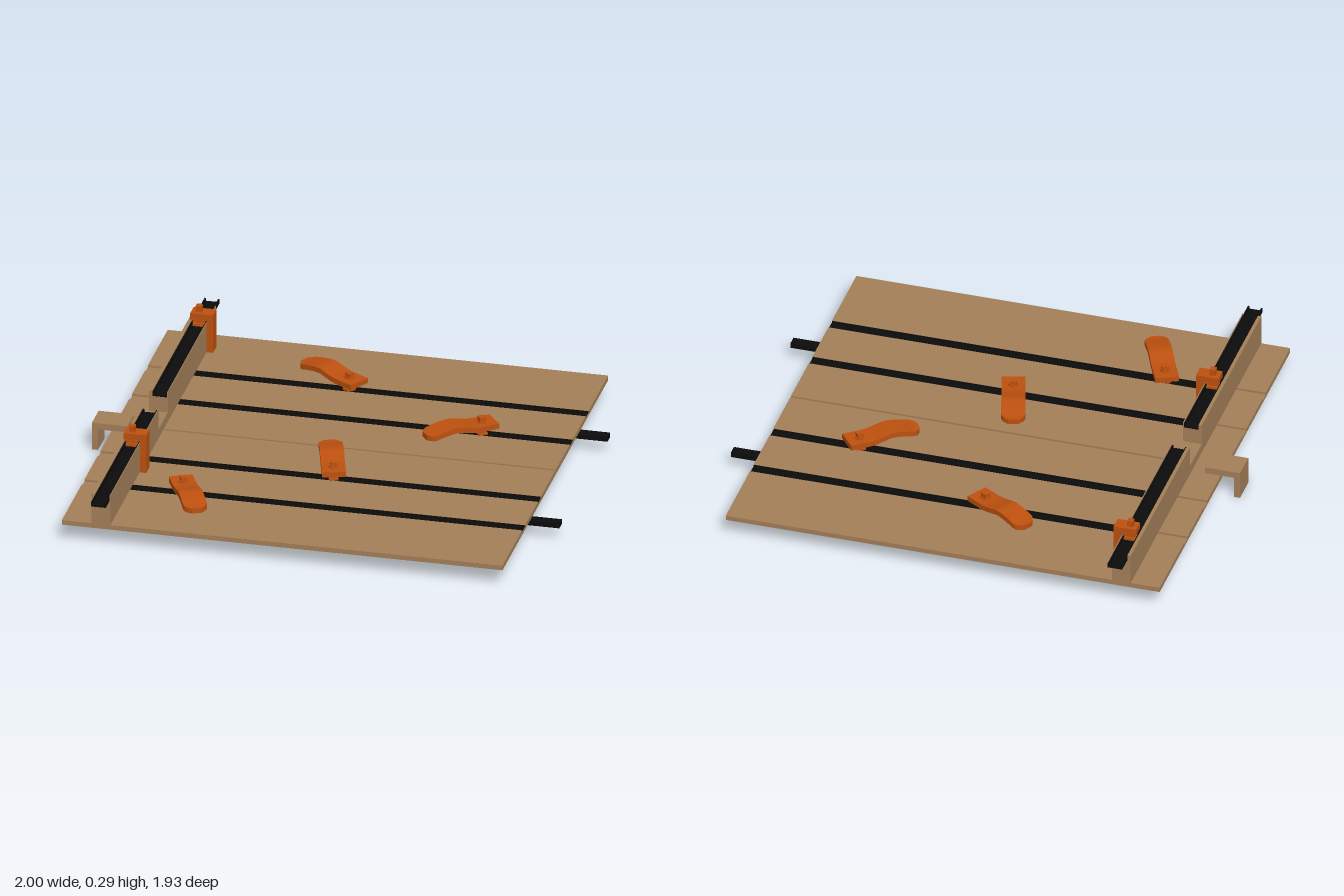
import * as THREE from 'three';

const mat = (color) => new THREE.MeshStandardMaterial({ color, flatShading: true });
const wood = mat(0xa47f59), black = mat(0x0b0b0b), orange = mat(0xbd500f);

export function createModel() {
  const model = new THREE.Group();

  const add = (parent, name, geometry, material) => {
    const mesh = new THREE.Mesh(geometry, material);
    mesh.name = name;
    parent.add(mesh);
    return mesh;
  };
  // box given by its limits on each axis
  const box = (parent, name, material, [x0, x1], [y0, y1], [z0, z1]) =>
    add(parent, name, new THREE.BoxGeometry(x1 - x0, y1 - y0, z1 - z0), material)
      .position.set((x0 + x1) / 2, (y0 + y1) / 2, (z0 + z1) / 2);
  const extrude = (points, depth) => new THREE.ExtrudeGeometry(
    new THREE.Shape(points.map(([a, b]) => new THREE.Vector2(a, b))), { depth, bevelEnabled: false });
  // section in (z, y) swept along x
  const sweepX = (name, material, points, x0, x1) => {
    add(model, name, extrude(points.map(([z, y]) => [-z, y]), x1 - x0).rotateY(Math.PI / 2), material)
      .position.x = x0;
  };
  // section in (x, y) swept along z
  const sweepZ = (parent, name, material, points, z0, z1) => {
    add(parent, name, extrude(points, z1 - z0), material).position.z = z0;
  };
  // open channel section
  const channel = (c, w, y0, y1, t) => [
    [c - w / 2, y0], [c + w / 2, y0], [c + w / 2, y1], [c + w / 2 - t, y1],
    [c + w / 2 - t, y0 + t], [c - w / 2 + t, y0 + t], [c - w / 2 + t, y1], [c - w / 2, y1]];

  // base board halves with two grooves each, joined behind the saw kerf
  const top = 0.09, floor = 0.081, grooveW = 0.05;
  const half = (z0, z1, centres) => {
    const p = [[z0, 0.07], [z1, 0.07], [z1, top]];
    for (const c of centres) {
      p.push([c + grooveW / 2, top], [c + grooveW / 2, floor], [c - grooveW / 2, floor], [c - grooveW / 2, top]);
    }
    p.push([z0, top]);
    return p;
  };
  sweepX('baseBoardBack', wood, half(-0.9, -0.011, [-0.27, -0.54]), -0.92, 0.88);
  sweepX('baseBoardFront', wood, half(0, 0.9, [0.54, 0.27]), -0.92, 0.88);
  box(model, 'baseBoardBridge', wood, [-0.92, -0.74], [0.07, top], [-0.011, 0]);

  // tracks in the board and runners beneath it
  for (const z of [-0.54, -0.27, 0.27, 0.54]) {
    sweepX('boardTrack', black, channel(z, grooveW - 0.001, floor + 0.0005, top - 0.001, 0.003), -0.74, 0.879);
  }
  for (const z of [-0.41, 0.41]) {
    box(model, 'runner', black, [-0.85, 1], [0.05, 0.07], [z - 0.022, z + 0.022]);
  }

  // fence with a channel along its top, cut low in the middle
  const fence = [[-0.8, top], [-0.722, top], [-0.722, 0.219], [-0.725, 0.219], [-0.725, 0.195],
    [-0.786, 0.195], [-0.786, 0.219], [-0.8, 0.219]];
  for (const [z0, z1, t0, t1] of [[-0.9, -0.08, -0.97, -0.08], [0.08, 0.9, 0.08, 0.965]]) {
    sweepZ(model, 'fence', wood, fence, z0, z1);
    sweepZ(model, 'fenceTrack', black, channel(-0.7555, 0.0605, 0.1955, 0.214, 0.006), t0, t1);
  }
  box(model, 'fenceBridge', wood, [-0.8, -0.722], [top, 0.13], [-0.08, 0.08]);

  // blade guard hooked over the rear edge
  sweepZ(model, 'bladeGuard', wood,
    [[-1, 0], [-0.975, 0], [-0.975, top], [-0.855, top], [-0.855, 0.117], [-1, 0.117]], -0.058, 0.056);

  // sliding stops on the fence
  for (const z of [-0.75, 0.386]) {
    const stop = new THREE.Group();
    stop.name = 'fenceStop';
    stop.position.z = z;
    model.add(stop);
    sweepZ(stop, 'stopArm', orange, [[-0.785, 0.235], [-0.718, 0.235], [-0.718, 0.097], [-0.692, 0.097],
      [-0.692, 0.262], [-0.785, 0.262]], -0.029, 0.029);
    box(stop, 'stopBoltFoot', orange, [-0.778, -0.732], [0.202, 0.212], [-0.02, 0.02]);
    box(stop, 'stopBoltStem', orange, [-0.765, -0.744], [0.21, 0.236], [-0.011, 0.011]);
    box(stop, 'stopCollar', orange, [-0.778, -0.732], [0.221, 0.23], [-0.022, 0.022]);
    box(stop, 'stopBoltHead', orange, [-0.767, -0.743], [0.262, 0.288], [-0.013, 0.013]);
  }

  // wavy hold-down: a segmented slab bent upward, with a rounded tip
  const length = 0.305, width = 0.096, pivot = 0.055, tip = 0.035;
  const rise = new THREE.SplineCurve([[0, 0.127], [0.09, 0.127], [0.14, 0.136], [0.18, 0.144],
    [0.23, 0.138], [0.275, 0.128], [length, 0.125]].map(([a, b]) => new THREE.Vector2(a, b)));
  const slab = new THREE.BoxGeometry(length, 0.022, width, 24, 1, 1);
  const pos = slab.attributes.position;
  for (let i = 0; i < pos.count; i++) {
    const s = THREE.MathUtils.clamp(pos.getX(i) / length + 0.5, 0, 1);
    const p = rise.getPoint(s);
    const k = Math.max(0, (p.x - (length - tip)) / tip);
    pos.setXYZ(i, p.x - pivot, pos.getY(i) + p.y, pos.getZ(i) * (1 - 0.6 * k * k));
  }
  slab.computeVertexNormals();

  // pivot x, z and direction of the tip
  const clamps = [[-0.092, -0.545, -48, -29], [0.513, -0.275, -46, 37],
    [0.037, 0.265, -16, -54], [-0.51, 0.537, 25, 52]];
  for (const [x, z, dx, dz] of clamps) {
    const clamp = new THREE.Group();
    clamp.name = 'holdDownClamp';
    clamp.position.set(x, 0, z);
    clamp.rotation.y = Math.atan2(-dz, dx);
    model.add(clamp);
    add(clamp, 'holdDownArm', slab, orange);
    box(clamp, 'clampBoltFoot', orange, [-0.019, 0.019], [0.0845, 0.092], [-0.019, 0.019]);
    box(clamp, 'clampBoltStem', orange, [-0.012, 0.012], [0.09, 0.13], [-0.012, 0.012]);
    add(clamp, 'clampCollar', new THREE.CylinderGeometry(0.021, 0.021, 0.006, 8), orange).position.y = 0.14;
    box(clamp, 'clampBoltHead', orange, [-0.013, 0.013], [0.135, 0.16], [-0.013, 0.013]);
  }
  return model;
}
